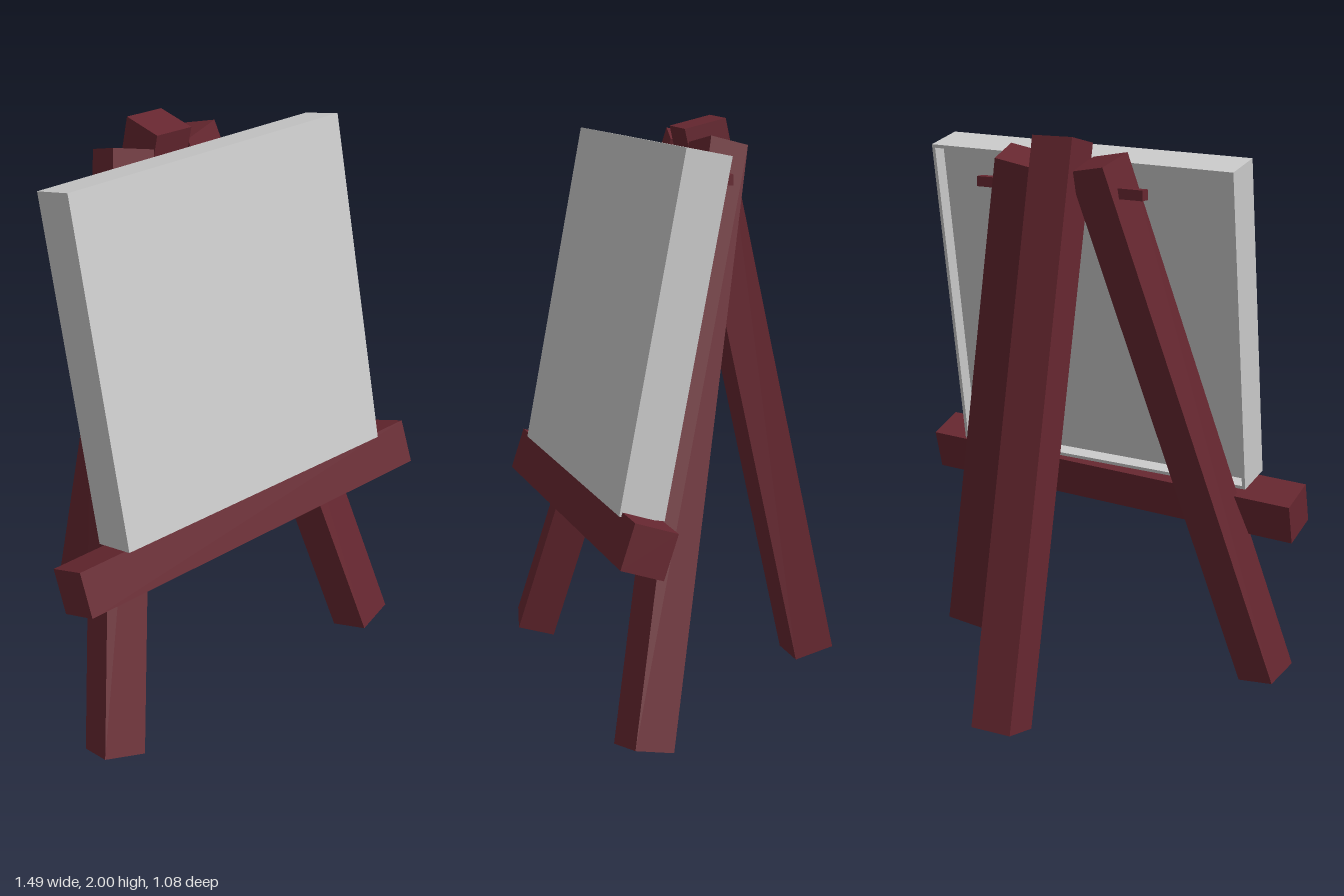
import * as THREE from 'three';

const wood = new THREE.MeshStandardMaterial({ color: 0x672730 });
const grey = new THREE.MeshStandardMaterial({ color: 0xcccccc });
const vec = (a) => new THREE.Vector3(...a);

// Place an object at a point, its y along "up" and its x close to "across"
function orient(object, center, across, up) {
  const y = vec(up).normalize();
  const z = vec(across).cross(y).normalize();
  const x = y.clone().cross(z);
  object.quaternion.setFromRotationMatrix(new THREE.Matrix4().makeBasis(x, y, z));
  object.position.copy(vec(center));
  return object;
}

function box(name, w, h, d, material) {
  const mesh = new THREE.Mesh(new THREE.BoxGeometry(w, h, d), material);
  mesh.name = name;
  return mesh;
}

// Beam running between the centres of its two ends
function leg(name, foot, head, across, depth) {
  const up = vec(head).sub(vec(foot));
  const center = vec(foot).addScaledVector(up, 0.5);
  return orient(box(name, 0.15, up.length(), depth, wood), center.toArray(), across, up.toArray());
}

// Stretched canvas: front panel with a shallow thin-edged recess behind it
function createCanvas() {
  const size = 1.163, border = 0.012, depth = 0.153, panelDepth = 0.1;
  const canvas = new THREE.Group();
  canvas.name = 'canvas';

  const panel = box('canvasPanel', size, size, panelDepth, grey);
  panel.position.z = depth / 2 - panelDepth / 2;

  const square = (s, Type) => new Type([[-s, -s], [s, -s], [s, s], [-s, s]].map((p) => new THREE.Vector2(...p)));
  const outline = square(size / 2, THREE.Shape);
  outline.holes.push(square(size / 2 - border, THREE.Path));
  const frame = new THREE.Mesh(
    new THREE.ExtrudeGeometry(outline, { depth: depth - panelDepth, bevelEnabled: false }), grey);
  frame.name = 'canvasFrame';
  frame.position.z = -depth / 2;

  canvas.add(panel, frame);
  return canvas;
}

export function createModel() {
  const easel = new THREE.Group();
  easel.name = 'easel';

  // Three splayed legs
  easel.add(
    leg('frontRightLeg', [-0.61, 0.035, 0.463], [-0.182, 1.918, -0.03], [0.145, -0.03, 0.025], 0.138),
    leg('frontLeftLeg', [0.625, 0.035, 0.345], [0.095, 1.923, -0.058], [0.13, 0.035, -0.035], 0.142),
    leg('rearLeg', [-0.077, 0.035, -0.458], [-0.04, 1.985, -0.025], [0.15, 0, -0.012], 0.15),
  );

  // Rod joining the legs at the top
  const rod = box('hingeRod', 0.66, 0.035, 0.035, wood);
  rod.position.set(-0.035, 1.823, -0.033);
  easel.add(rod);

  // Tilted shelf and the canvas resting on it
  easel.add(
    orient(box('shelf', 1.478, 0.155, 0.148, wood), [0, 0.7075, 0.388], [1.475, 0.06, -0.075], [-0.0085, 0.145, -0.05]),
    orient(createCanvas(), [-0.005, 1.358, 0.26], [1.16, 0.03, -0.076], [-0.041, 1.135, -0.231]),
  );
  return easel;
}
